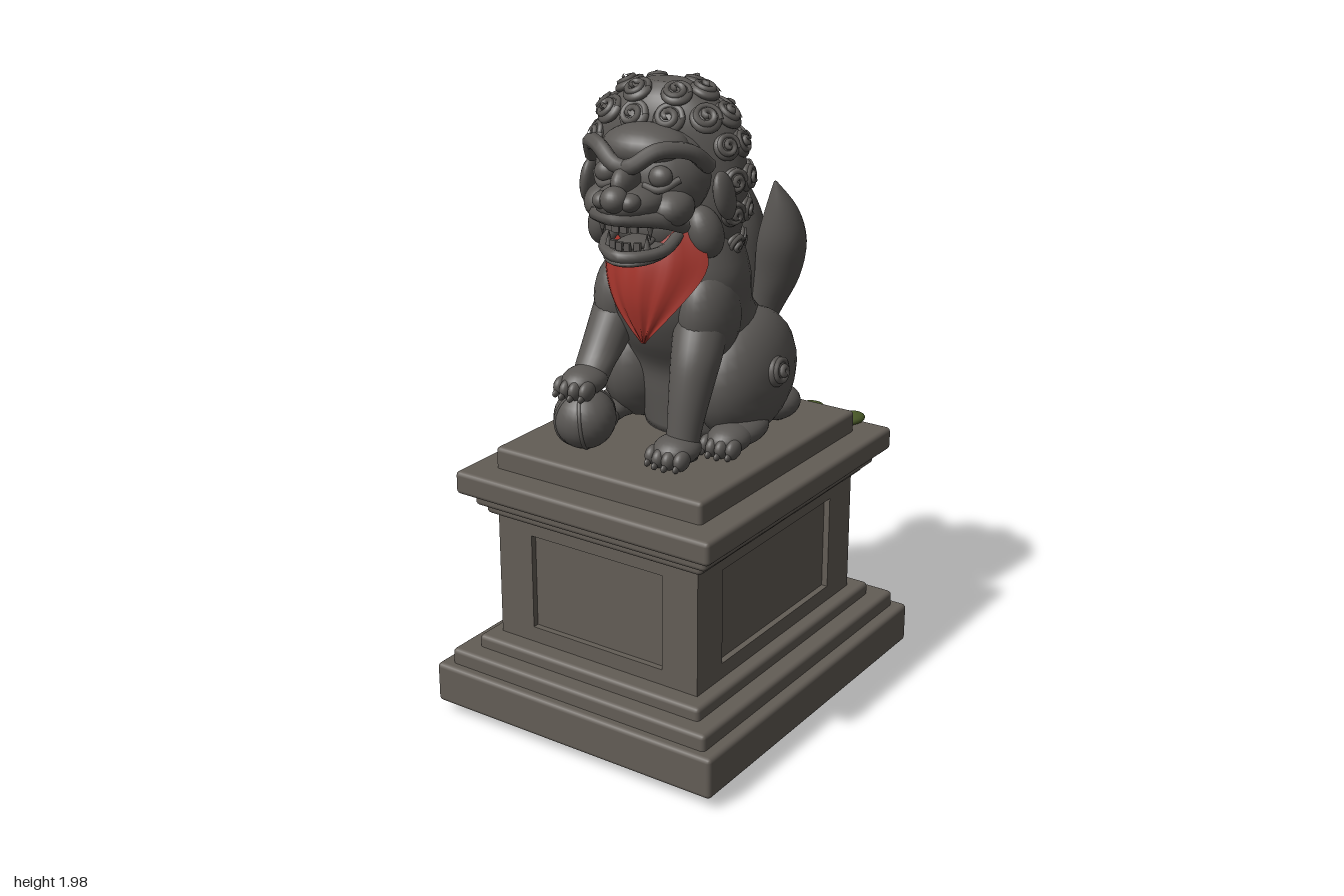
import * as THREE from 'three';
import { RoundedBoxGeometry } from 'three/addons/geometries/RoundedBoxGeometry.js';

const mat = (name, color, side = THREE.FrontSide) => {
  const m = new THREE.MeshStandardMaterial({ color, side });
  m.name = name;
  return m;
};
const plinthStone = mat('plinth stone', 0x635d56);
const lionStone = mat('statue stone', 0x5b5855);
const redCloth = mat('red cloth', 0xa5352c, THREE.DoubleSide);
const mossGreen = mat('moss green', 0x4a5a28);

const CX = 0.03; // the plinth and body axis
const ball = new THREE.SphereGeometry(1, 24, 16);

function add(parent, name, geo, material, pos = [0, 0, 0], rot = [0, 0, 0]) {
  const m = new THREE.Mesh(geo, material);
  m.name = name;
  m.position.set(...pos);
  m.rotation.set(...rot);
  parent.add(m);
  return m;
}
function blob(parent, name, pos, radii, rot, material = lionStone) {
  const m = add(parent, name, ball, material, pos, rot);
  m.scale.set(...radii);
  return m;
}
function tube(parent, name, points, r) {
  const curve = new THREE.CatmullRomCurve3(points.map(p => new THREE.Vector3(...p)));
  return add(parent, name, new THREE.TubeGeometry(curve, 20, r, 8), lionStone);
}

// Smoothly interpolated horizontal ring [x, y, z, rx, rz] at t = 0..1
function ringAt(rings, t) {
  const f = t * (rings.length - 1), i = Math.min(Math.floor(f), rings.length - 2), u = f - i;
  const at = k => rings[Math.max(0, Math.min(rings.length - 1, k))];
  return rings[i].map((_, c) => {
    const [a, b, d, e] = [at(i - 1)[c], at(i)[c], at(i + 1)[c], at(i + 2)[c]];
    return b + 0.5 * u * (d - a + u * (2 * a - 5 * b + 4 * d - e + u * (3 * (b - d) + e - a)));
  });
}
// Closed skin over rings listed from bottom to top
function loft(rings, seg = 28) {
  const list = [], pos = [], index = [], n = (rings.length - 1) * 4;
  for (let i = 0; i <= n; i++) list.push(ringAt(rings, i / n));
  const first = list[0], last = list[n];
  list.unshift([first[0], first[1], first[2], 0, 0]);
  list.push([last[0], last[1], last[2], 0, 0]);
  list.forEach(([x, y, z, rx, rz], i) => {
    for (let j = 0; j < seg; j++) {
      const a = j / seg * Math.PI * 2;
      pos.push(x + rx * Math.cos(a), y, z + rz * Math.sin(a));
      if (i === list.length - 1) continue;
      const p = i * seg + j, q = i * seg + (j + 1) % seg;
      index.push(p, p + seg, q, q, p + seg, q + seg);
    }
  });
  const g = new THREE.BufferGeometry();
  g.setAttribute('position', new THREE.Float32BufferAttribute(pos, 3));
  g.setIndex(index);
  g.computeVertexNormals();
  return g;
}

// Unit spiral rising along +z
const spiral = new THREE.TubeGeometry(new THREE.CatmullRomCurve3(
  Array.from({ length: 17 }, (_, i) => {
    const a = i / 16 * Math.PI * 3.6, r = 0.82 - 0.72 * i / 16;
    return new THREE.Vector3(r * Math.cos(a), r * Math.sin(a), 0.15 + 0.4 * i / 16);
  })), 36, 0.2, 6);
function curl(parent, pos, normal, r) {
  const g = new THREE.Group();
  g.name = 'curl';
  g.position.set(...pos);
  g.quaternion.setFromUnitVectors(new THREE.Vector3(0, 0, 1), new THREE.Vector3(...normal).normalize());
  g.scale.setScalar(r);
  add(g, 'curlSpiral', spiral, lionStone);
  blob(g, 'curlDome', [0, 0, 0], [0.95, 0.95, 0.42]);
  parent.add(g);
}
function paw(parent, name, x, y, z, w = 0.07) {
  blob(parent, name, [x, y, z], [w, 0.045, 0.08]);
  for (let i = 0; i < 4; i++) {
    const u = i - 1.5, tx = x + u * w * 0.48, tz = z + 0.068 - Math.abs(u) * 0.012;
    blob(parent, 'toe', [tx, y - 0.012, tz], [w * 0.3, 0.03, 0.034]);
    blob(parent, 'claw', [tx, y - 0.028, tz + 0.03], [0.008, 0.012, 0.014]);
  }
}

function buildPlinth(root) {
  const g = new THREE.Group();
  g.name = 'plinth';
  root.add(g);
  // [name, bottom, top, width, depth]
  [['baseSlab', 0.04, 0.172, 1.02, 1.19], ['baseStep', 0.15, 0.222, 0.94, 1.13],
    ['baseMoulding', 0.2, 0.262, 0.82, 1.01], ['shaftCore', 0.25, 0.69, 0.69, 0.845],
    ['neckMoulding', 0.668, 0.71, 0.785, 0.94], ['lowerCornice', 0.695, 0.75, 0.84, 0.98],
    ['cornice', 0.738, 0.812, 0.915, 1.065], ['topSlab', 0.79, 0.88, 0.745, 0.88],
  ].forEach(([name, a, b, w, d]) =>
    add(g, name, new RoundedBoxGeometry(w, b - a, d, 2, 0.014), plinthStone, [CX, (a + b) / 2, 0.005]));
  // Raised frames leave sunken panels on all four sides
  for (let k = 0; k < 4; k++) {
    const side = k % 2, w = side ? 0.885 : 0.73, pw = side ? 0.62 : 0.48;
    const s = new THREE.Shape();
    s.moveTo(-w / 2, 0.25).lineTo(w / 2, 0.25).lineTo(w / 2, 0.68).lineTo(-w / 2, 0.68);
    const h = new THREE.Path();
    h.moveTo(-pw / 2, 0.312).lineTo(-pw / 2, 0.62).lineTo(pw / 2, 0.62).lineTo(pw / 2, 0.312);
    s.holes.push(h);
    const geo = new THREE.ExtrudeGeometry(s, { depth: 0.03, bevelEnabled: false });
    geo.translate(0, 0, (side ? 0.365 : 0.4425) - 0.03);
    add(g, 'panelFrame', geo, plinthStone, [CX, 0, 0.005], [0, k * Math.PI / 2, 0]);
  }
  // Moss on the cornice and under the base
  [[-0.34, 0.82, -0.49, 0.055, 0.02, 0.07, 0.35], [0, 0.82, -0.49, 0.055, 0.025, 0.065, 0.3],
    [0.11, 0.82, -0.485, 0.05, 0.015, 0.028, 0], [0.2, 0.82, -0.49, 0.05, 0.025, 0.065, -0.2],
    [0.35, 0.82, -0.5, 0.04, 0.02, 0.055, -0.3], [-0.42, 0.06, -0.42, 0.125, 0.05, 0.17, 0],
    [-0.3, 0.035, -0.47, 0.12, 0.025, 0.1, 0], [-0.46, 0.045, -0.28, 0.05, 0.03, 0.08, 0],
    [0.07, 0.04, -0.48, 0.13, 0.038, 0.11, 0],
  ].forEach(([x, y, z, a, b, c, r]) => blob(g, 'moss', [x, y, z], [a, b, c], [0, r, 0], mossGreen));
}

function buildBody(root) {
  const g = new THREE.Group();
  g.name = 'body';
  root.add(g);
  add(g, 'torso', loft([[CX, 0.88, -0.13, 0.18, 0.19], [CX, 1, -0.145, 0.22, 0.225],
    [CX, 1.1, -0.135, 0.23, 0.235], [CX, 1.2, -0.08, 0.22, 0.245], [CX, 1.3, -0.005, 0.215, 0.215],
    [CX, 1.4, 0.015, 0.225, 0.205], [CX, 1.5, 0.015, 0.2, 0.175], [CX, 1.6, 0.02, 0.16, 0.14]], 36), lionStone);
  for (const s of [-1, 1]) {
    blob(g, 'haunch', [CX + s * 0.17, 1.07, -0.1], [0.13, 0.2, 0.22], [0.3, 0, 0]);
    curl(g, [CX + s * 0.295, 1.1, -0.085], [s, 0.1, 0], 0.05);
    curl(g, [CX + s * 0.15, 1.09, -0.325], [s * 0.5, 0.1, -1], 0.04);
    blob(g, 'heel', [CX + s * 0.19, 0.93, -0.25], [0.075, 0.055, 0.09]);
    blob(g, 'hindFoot', [CX + s * 0.22, 0.925, 0], [0.07, 0.045, 0.12]);
    paw(g, 'hindPaw', CX + s * 0.225, 0.922, 0.07, 0.065);
    blob(g, 'shoulder', [CX + s * 0.15, 1.3, 0.07], [0.085, 0.15, 0.12], [0.2, 0, 0]);
  }
  // Standing left foreleg, and the right one resting on the ball
  add(g, 'leftForeleg', loft([[0.18, 0.89, 0.215, 0.05, 0.05], [0.183, 0.97, 0.205, 0.052, 0.052],
    [0.187, 1.1, 0.175, 0.065, 0.07], [0.185, 1.2, 0.14, 0.075, 0.085], [0.17, 1.3, 0.09, 0.08, 0.09]]), lionStone);
  paw(g, 'leftForepaw', 0.178, 0.924, 0.235);
  add(g, 'rightForeleg', loft([[-0.118, 1.07, 0.27, 0.05, 0.055], [-0.122, 1.12, 0.235, 0.057, 0.065],
    [-0.128, 1.18, 0.17, 0.066, 0.08], [-0.125, 1.3, 0.09, 0.075, 0.09]]), lionStone);
  paw(g, 'rightForepaw', -0.118, 1.095, 0.29, 0.065);
  blob(g, 'ball', [-0.115, 0.978, 0.295], [0.095, 0.095, 0.095]);
  for (const r of [0.5, -0.6]) {
    add(g, 'ballBand', new THREE.TorusGeometry(0.093, 0.006, 6, 40), lionStone,
      [-0.115, 0.978, 0.295], [0.2, Math.PI / 2 + r, 0]);
  }
  // Three upright tail plumes fanned sideways
  for (const s of [-1, 0, 1]) {
    const k = s ? 0.93 : 1, h = y => 1.1 + (y - 1.1) * k;
    add(g, 'tailPlume', loft([[CX + s * 0.05, 1.08, -0.37, 0.025, 0.025],
      [CX + s * 0.075, h(1.19), -0.375, 0.05, 0.045], [CX + s * 0.12, h(1.32), -0.36, 0.073, 0.065],
      [CX + s * 0.15, h(1.45), -0.335, 0.078, 0.075], [CX + s * 0.165, h(1.57), -0.305, 0.05, 0.05],
      [CX + s * 0.165, 1.665 - Math.abs(s) * 0.035, -0.265, 0.004, 0.004]], 20), lionStone);
  }
  curl(g, [CX, 1.11, -0.375], [0, 0, -1], 0.05);
  // Pointed bib wrapped over the chest
  const bib = new THREE.PlaneGeometry(2, 1, 20, 18), p = bib.attributes.position;
  const profile = [[CX + 0.015, 1.59, 0.205, 0.14, 0], [CX + 0.01, 1.47, 0.245, 0.185, 0],
    [CX + 0.01, 1.35, 0.25, 0.125, 0], [CX + 0.015, 1.22, 0.215, 0.006, 0]];
  for (let i = 0; i < p.count; i++) {
    const u = p.getX(i), [x, y, z, w] = ringAt(profile, 0.5 - p.getY(i));
    p.setXYZ(i, x + u * w, y, z - 3 * (u * w) ** 2 + 0.004 * Math.sin(u * 14));
  }
  bib.computeVertexNormals();
  add(g, 'bib', bib, redCloth);
}

function buildHead(root) {
  const g = new THREE.Group();
  g.name = 'head';
  g.position.set(0.015, 0, 0.03);
  g.rotation.y = 0.17;
  root.add(g);
  const mane = [[0, 1.43, -0.02, 0.15, 0.1], [0, 1.5, -0.01, 0.205, 0.135], [0, 1.6, 0, 0.23, 0.14],
    [0, 1.7, 0, 0.24, 0.135], [0, 1.8, 0.01, 0.225, 0.13], [0, 1.88, 0.02, 0.19, 0.115],
    [0, 1.94, 0.025, 0.13, 0.085], [0, 1.975, 0.025, 0.06, 0.045]];
  add(g, 'mane', loft(mane, 36), lionStone);
  // Rows of curls: [ring position, count, arc swept from the back, upward tilt, size]
  [[0.88, 6, 2.6, 1.6, 0.048], [0.72, 10, 2.85, 0.7, 0.05], [0.575, 10, 2, 0.25, 0.043],
    [0.43, 10, 1.95, 0, 0.043], [0.29, 10, 1.9, -0.1, 0.042], [0.14, 8, 1.7, -0.3, 0.042],
  ].forEach(([t, n, arc, up, r]) => {
    const [x, y, z, rx, rz] = ringAt(mane, t);
    for (let i = 0; i < n; i++) {
      const a = -Math.PI / 2 + arc * (2 * i / (n - 1) - 1), c = Math.cos(a), s = Math.sin(a);
      curl(g, [x + rx * c, y, z + rz * s], [c * rz / rx, up, s], r);
    }
  });
  tube(g, 'maneSeam', [[0, 1.96, -0.03], [0, 1.85, -0.1], [0, 1.7, -0.138], [0, 1.52, -0.145]], 0.009);

  // Face
  blob(g, 'skull', [0, 1.72, 0.12], [0.175, 0.15, 0.15]);
  blob(g, 'forehead', [0, 1.81, 0.17], [0.13, 0.065, 0.1]);
  blob(g, 'muzzle', [0, 1.675, 0.27], [0.1, 0.055, 0.12]);
  blob(g, 'noseBridge', [0, 1.735, 0.3], [0.035, 0.05, 0.07]);
  blob(g, 'nose', [0, 1.7, 0.375], [0.04, 0.038, 0.042]);
  blob(g, 'mouthBack', [0, 1.57, 0.12], [0.12, 0.09, 0.09]);
  blob(g, 'lowerJaw', [0, 1.515, 0.22], [0.095, 0.025, 0.13], [0.08, 0, 0]);
  blob(g, 'tongue', [0, 1.545, 0.24], [0.05, 0.016, 0.08]);
  tube(g, 'lowerLip', [[-0.1, 1.56, 0.15], [-0.09, 1.53, 0.26], [0, 1.525, 0.34],
    [0.09, 1.53, 0.26], [0.1, 1.56, 0.15]], 0.018);
  tube(g, 'upperLip', [[-0.125, 1.59, 0.18], [-0.1, 1.63, 0.29], [0, 1.645, 0.37],
    [0.1, 1.63, 0.29], [0.125, 1.59, 0.18]], 0.022);
  for (const s of [-1, 1]) {
    blob(g, 'nostril', [s * 0.042, 1.692, 0.36], [0.03, 0.026, 0.034]);
    blob(g, 'cheek', [s * 0.105, 1.65, 0.215], [0.06, 0.055, 0.08]);
    blob(g, 'eye', [s * 0.085, 1.745, 0.252], [0.035, 0.032, 0.03]);
    tube(g, 'brow', [[s * 0.185, 1.76, 0.14], [s * 0.155, 1.815, 0.21], [s * 0.09, 1.825, 0.285],
      [s * 0.03, 1.785, 0.315], [0, 1.775, 0.31]], 0.024);
    tube(g, 'lowerEyelid', [[s * 0.13, 1.735, 0.225], [s * 0.09, 1.712, 0.275], [s * 0.045, 1.725, 0.285]], 0.011);
    blob(g, 'ear', [s * 0.215, 1.67, 0.1], [0.025, 0.075, 0.05], [0.3, 0, s * 0.15]);
    blob(g, 'jowlTuft', [s * 0.16, 1.56, 0.11], [0.05, 0.08, 0.06], [0.2, 0, s * 0.3]);
    // Fangs and small teeth
    add(g, 'upperFang', new THREE.ConeGeometry(0.015, 0.06, 8), lionStone, [s * 0.075, 1.6, 0.3], [Math.PI, 0, 0]);
    add(g, 'lowerFang', new THREE.ConeGeometry(0.014, 0.06, 8), lionStone, [s * 0.06, 1.56, 0.29]);
    for (const x of [0.012, 0.038]) {
      add(g, 'upperTooth', new THREE.BoxGeometry(0.022, 0.035, 0.014), lionStone, [s * x, 1.615, 0.345 - x * 0.5]);
      add(g, 'lowerTooth', new THREE.BoxGeometry(0.018, 0.026, 0.014), lionStone, [s * x, 1.55, 0.325 - x * 0.5]);
    }
  }
}

export function createModel() {
  const root = new THREE.Group();
  root.name = 'guardianLionStatue';
  buildPlinth(root);
  buildBody(root);
  buildHead(root);
  return root;
}
